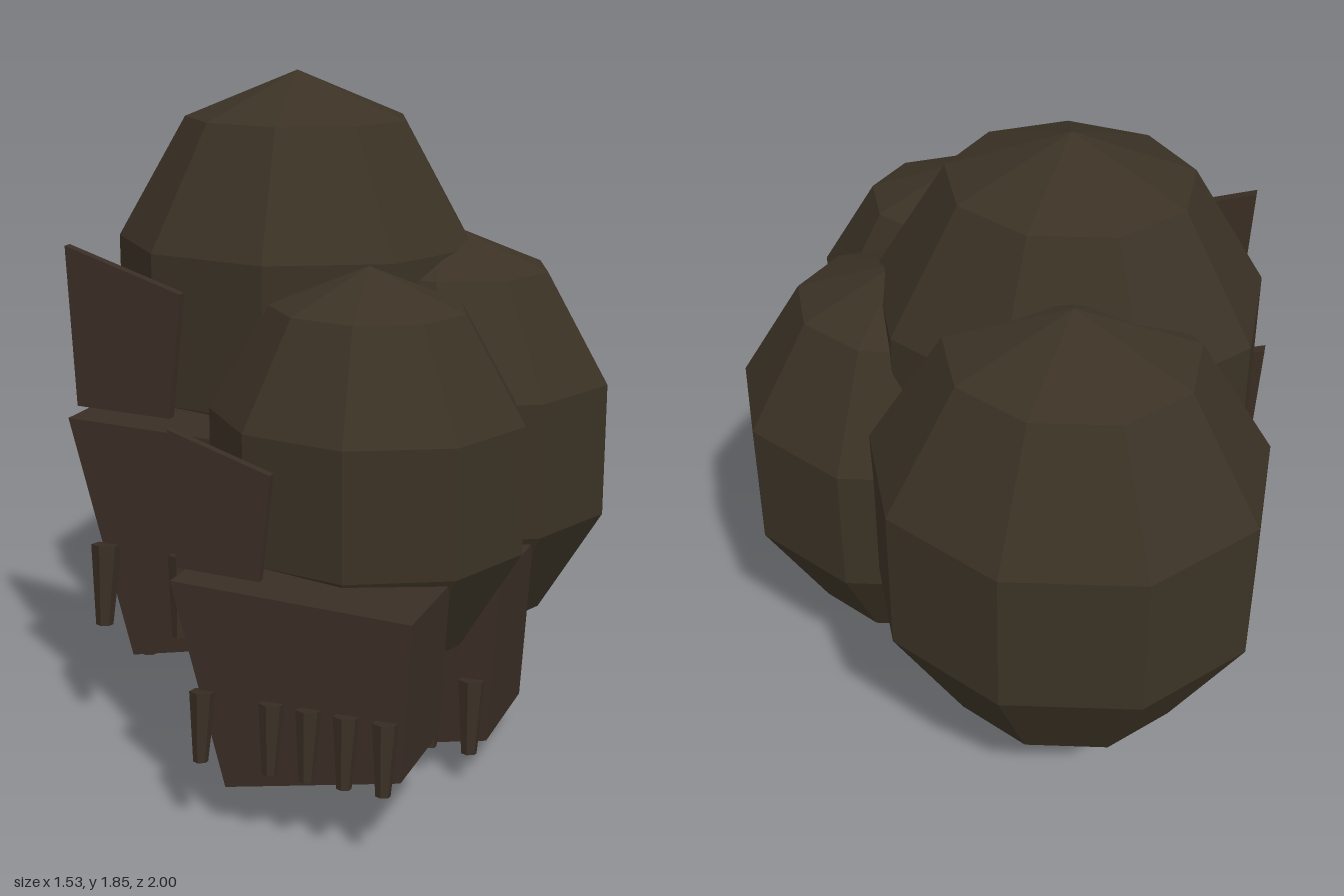
import * as THREE from 'three';

const mat = (name, color) => {
  const m = new THREE.MeshStandardMaterial({ color, flatShading: true });
  m.name = name;
  return m;
};

// Straight-sided slab from a four-corner outline, centred on z
function slab(corners, depth, z) {
  const shape = new THREE.Shape(corners.map(([x, y]) => new THREE.Vector2(x, y)));
  const geo = new THREE.ExtrudeGeometry(shape, { depth, bevelEnabled: false });
  return geo.translate(0, 0, z - depth / 2);
}

export function createModel() {
  const model = new THREE.Group();
  model.name = 'clusteredBoulders';
  const stone = mat('dark olive brown', 0x3b3225);
  const wood = mat('dark brown', 0x3a2e25);
  const horn = mat('dark horn brown', 0x382d23);

  const add = (group, name, geo, material) => {
    const mesh = new THREE.Mesh(geo, material);
    mesh.name = name;
    group.add(mesh);
    return mesh;
  };

  // Shared pieces, in units of the lump radius
  const lumpGeo = new THREE.SphereGeometry(1, 9, 5).rotateY(Math.PI).scale(1, 1.24, 0.893);
  const jawGeo = slab([[-0.415, -1.565], [0.63, -1.34], [0.685, -0.42], [-0.732, -0.373]], 0.64, 0.83);
  const plateGeo = slab([[-0.77, -0.355], [-0.262, -0.37], [-0.19, 0.25], [-0.807, 0.445]], 0.05, 0.97);
  const clawGeo = new THREE.CylinderGeometry(0.075, 0.042, 0.4, 6);
  const clawXs = [-0.53, -0.11, 0.11, 0.33, 0.555];

  // Each cluster: centre, radius, and whether it carries a jaw block
  const clusters = [
    ['front', [0.26, 0.832, 0.42], 0.454, true],
    ['side', [0.288, 0.79, -0.16], 0.507, true],
    ['top', [-0.17, 1.14, -0.12], 0.572, true],
    ['back', [-0.25, 0.877, -0.52], 0.572, false],
  ];

  for (const [name, centre, radius, hasJaw] of clusters) {
    const group = new THREE.Group();
    group.name = name + 'Cluster';
    group.position.set(...centre);
    group.scale.setScalar(radius);
    add(group, 'lump', lumpGeo, stone);
    if (hasJaw) add(group, 'jawBlock', jawGeo, wood);
    add(group, 'plate', plateGeo, wood);
    // Row of tapering claws leaning forward
    for (const x of clawXs) {
      const claw = add(group, 'claw', clawGeo, horn);
      claw.position.set(x, -1.19, 1.2);
      claw.rotation.set(-0.17, 0, 0.03);
    }
    model.add(group);
  }
  return model;
}
